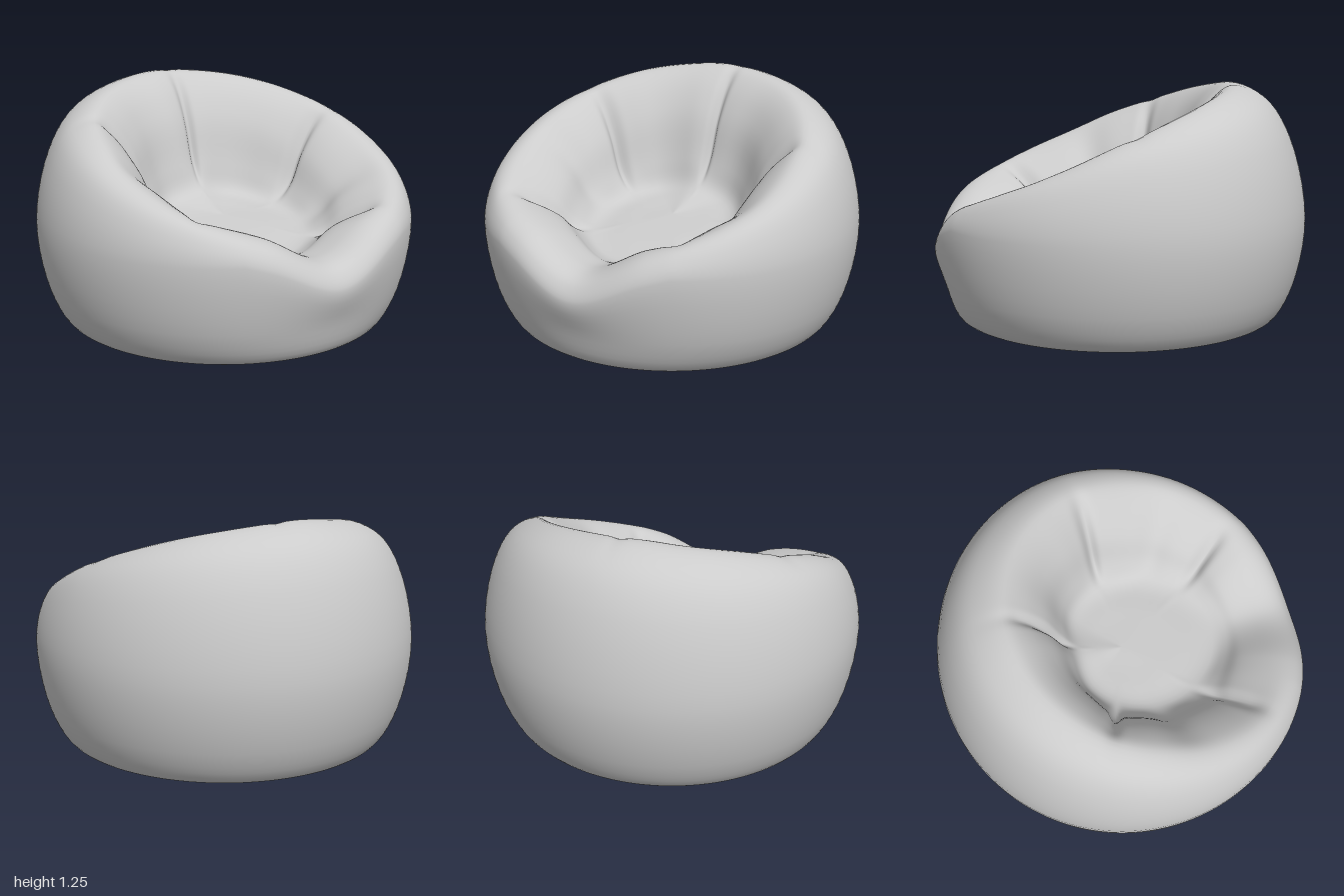
import * as THREE from 'three';
import { mergeVertices } from 'three/addons/utils/BufferGeometryUtils.js';

const RAD = Math.PI / 180;
const FRONT = 47; // azimuth (degrees from +x towards +z) of the low front lip
const ANGLES = 288; // sections around the bag
const SUB = 5; // rows between two control points of a section

// Smooth curve through values spread evenly from the front (0) to the back (180), mirrored at both ends
function frontToBack(...values) {
  const n = values.length - 1;
  const padded = [values[1], ...values, values[n - 1]];
  const curve = new THREE.SplineCurve(padded.map((v, i) => new THREE.Vector2(i, v)));
  return (phi) => curve.getPoint((1 + (phi / 180) * n) / (n + 2)).y;
}

const rimHeight = frontToBack(0.5, 0.64, 0.75, 0.88, 1.02, 1.12, 1.19, 1.23, 1.25);
const rimRadius = frontToBack(0.81, 0.86, 0.74, 0.64, 0.6);
const bodyRadius = frontToBack(0.975, 1.0, 1.0, 1.0, 1.0);
const seatRadius = frontToBack(0.56, 0.48, 0.4, 0.34, 0.27);
const seatHeight = frontToBack(0.44, 0.48, 0.53, 0.58, 0.62);

// Creases that divide the cushioned inside: [azimuth, half width, strength]
const creases = [
  [14, 3, 1], [92, 3, 1], [157, 3.5, 1], [233, 3.5, 0.8], [313, 3.5, 1],
  [-10, 8, 0.5], [125, 8, 0.5],
];

const angleGap = (a, b) => ((((a - b) % 360) + 540) % 360) - 180;

function creaseDepth(azimuth) {
  let depth = 0;
  for (const [at, width, strength] of creases) {
    const d = angleGap(azimuth, at) / width;
    depth += strength * (0.6 * Math.exp(-d * d) + 0.4 * Math.exp(-d * d / 12));
  }
  return depth;
}

// Control points [radius, height] from the middle of the base, up the outside and down into the seat
function section(azimuth) {
  const phi = Math.abs(angleGap(azimuth, FRONT));
  const H = rimHeight(phi);
  const rr = rimRadius(phi);
  const R = bodyRadius(phi);
  const rs = seatRadius(phi);
  const ys = seatHeight(phi);
  const c = creaseDepth(azimuth);
  const mix = THREE.MathUtils.lerp;
  const belly = Math.min(0.55, H - 0.13);

  // Soft uneven fold pressed into the base
  const fold = 0.45 + 0.07 * Math.cos(3 * (azimuth - 20) * RAD);

  return [
    [0, 0.05],
    [fold * 0.65, 0.05],
    [fold, 0.035],
    [0.68, 0.012],
    [0.79, 0.0],
    [0.855, 0.03],
    [R * 0.945, 0.2],
    [R, belly],
    [mix(rr, R, 0.78), mix(belly, H, 0.6)],
    [mix(rr, R, 0.45), mix(belly, H, 0.89)],
    [rr, H - 0.012 * c],
    [mix(rr, rs, 0.32) + 0.02 * c, mix(H, ys, 0.09) - 0.05 * c],
    [mix(rr, rs, 0.68) + 0.05 * c, mix(H, ys, 0.36) - 0.06 * c],
    [mix(rr, rs, 0.92) + 0.05 * c, mix(H, ys, 0.75) - 0.03 * c],
    [rs * 0.9, mix(H, ys, 0.97)],
    [rs * 0.5, mix(ys, 0.54, 0.5)],
    [0, 0.54],
  ];
}

function createBagGeometry() {
  const positions = [];
  const index = [];
  let rows = 0;
  for (let i = 0; i < ANGLES; i++) {
    const azimuth = (i / ANGLES) * 360;
    const points = section(azimuth).map(([r, y]) => new THREE.Vector3(r, y, 0));
    const curve = new THREE.CatmullRomCurve3(points, false, 'centripetal');
    rows = (points.length - 1) * SUB + 1;
    for (let j = 0; j < rows; j++) {
      const p = curve.getPoint(j / (rows - 1));
      const r = j === 0 || j === rows - 1 ? 0 : p.x;
      positions.push(r * Math.cos(azimuth * RAD), Math.max(0, p.y), r * Math.sin(azimuth * RAD));
    }
  }
  for (let i = 0; i < ANGLES; i++) {
    const next = (i + 1) % ANGLES;
    for (let j = 0; j < rows - 1; j++) {
      const a = i * rows + j;
      const b = next * rows + j;
      if (j < rows - 2) index.push(a, a + 1, b + 1);
      if (j > 0) index.push(a, b + 1, b);
    }
  }
  let geometry = new THREE.BufferGeometry();
  geometry.setAttribute('position', new THREE.Float32BufferAttribute(positions, 3));
  geometry.setIndex(index);
  geometry = mergeVertices(geometry, 1e-5);
  geometry.computeVertexNormals();
  return geometry;
}

export function createModel() {
  const group = new THREE.Group();
  group.name = 'beanBagChair';
  const material = new THREE.MeshStandardMaterial({ color: 0xcccccc, roughness: 0.8 });
  const bag = new THREE.Mesh(createBagGeometry(), material);
  bag.name = 'bag';
  group.add(bag);
  return group;
}
